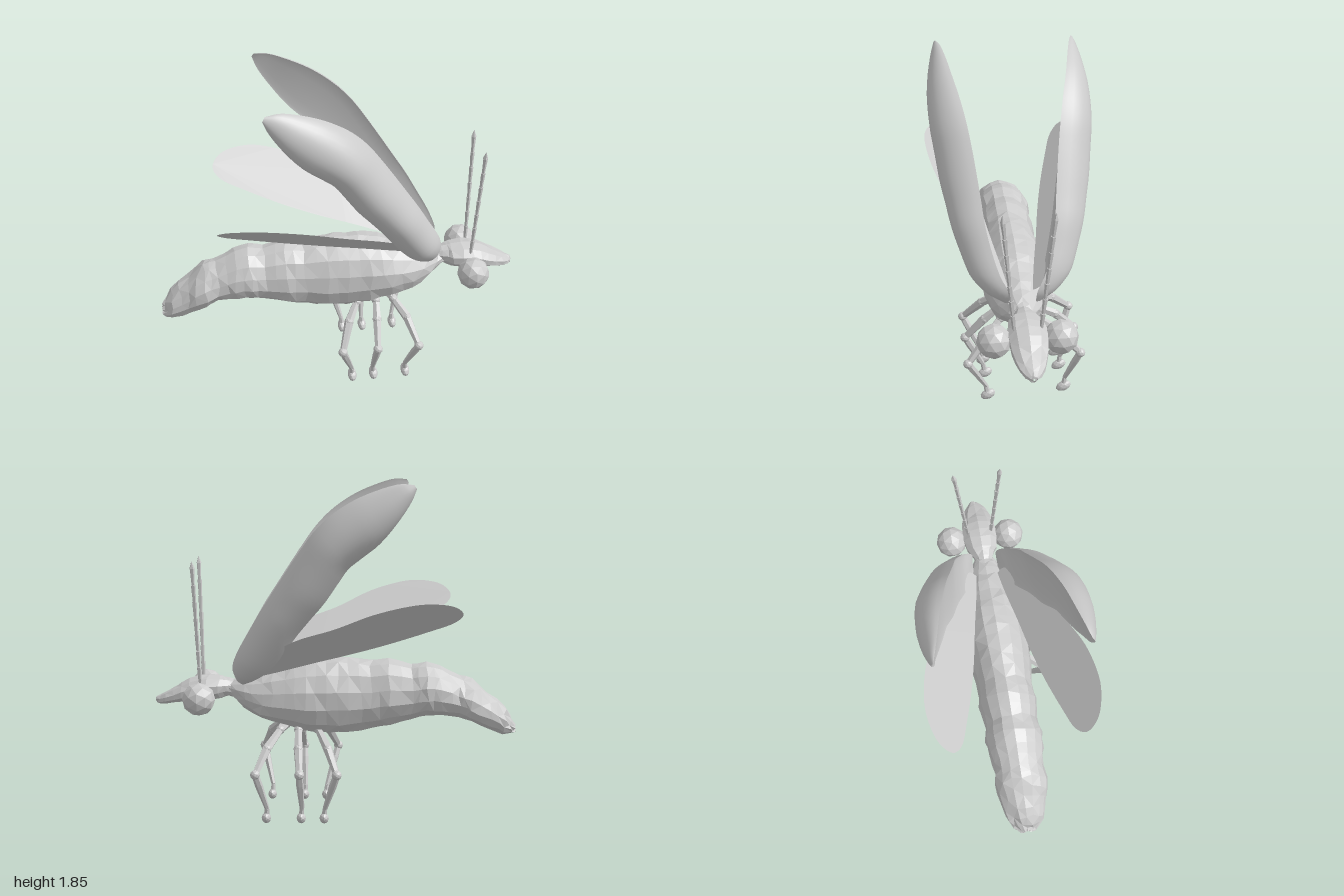
import * as THREE from 'three';

const V = (x, y, z) => new THREE.Vector3(x, y, z);
const flat = new THREE.MeshStandardMaterial({ color: 0xcccccc, flatShading: true });
const smooth = new THREE.MeshStandardMaterial({ color: 0xcccccc, side: THREE.DoubleSide });

// Surface through a grid of points: fn(i, j) gives each vertex.
function grid(rows, cols, fn, closed = false) {
  const pos = [], idx = [];
  const n = closed ? cols : cols + 1;
  for (let i = 0; i <= rows; i++)
    for (let j = 0; j < n; j++) pos.push(...fn(i, j));
  for (let i = 0; i < rows; i++)
    for (let j = 0; j < cols; j++) {
      const k = (j + 1) % n;
      const a = i * n + j, b = i * n + k, c = (i + 1) * n + j, d = (i + 1) * n + k;
      if ((i + j) % 2) idx.push(a, b, c, b, d, c);
      else idx.push(a, b, d, a, d, c);
    }
  const g = new THREE.BufferGeometry();
  g.setAttribute('position', new THREE.Float32BufferAttribute(pos, 3));
  g.setIndex(idx);
  g.computeVertexNormals();
  return g;
}

// Copy reflected in z, with the winding put right again.
function mirrored(geo) {
  const g = geo.clone().scale(1, 1, -1);
  const ix = g.index.array;
  for (let i = 0; i < ix.length; i += 3) [ix[i], ix[i + 1]] = [ix[i + 1], ix[i]];
  g.computeVertexNormals();
  return g;
}

const noise = (i, j) => {
  const s = Math.sin(i * 12.99 + j * 78.23) * 43758.55;
  return (s - Math.floor(s)) * 2 - 1;
};

// Faceted loft along x; sections are [x, bottom y, top y, half width].
function loft(sections, rings, sides, rough, keel) {
  const centre = new THREE.CatmullRomCurve3(sections.map(s => V(s[0], (s[1] + s[2]) / 2, 0)));
  const size = new THREE.CatmullRomCurve3(sections.map(s => V((s[2] - s[1]) / 2, s[3], 0)));
  return grid(rings, sides, (i, j) => {
    const t = i / rings, c = centre.getPoint(t), r = size.getPoint(t);
    const a = j / sides * Math.PI * 2;
    const bump = i === 0 || i === rings ? 0 : rough;
    const k = 1 + bump * noise(i, j);
    return [c.x + bump * 0.4 * noise(j, i),
      c.y + Math.cos(a) * r.x * k,
      Math.sin(a) * r.y * k * (1 - keel * Math.cos(a))];
  }, true);
}

// Faceted limb between two points.
function limb(a, b, ra, rb, sides = 6) {
  const g = new THREE.CylinderGeometry(rb, ra, a.distanceTo(b), sides);
  const m = new THREE.Mesh(g, flat);
  m.position.copy(a).add(b).multiplyScalar(0.5);
  m.quaternion.setFromUnitVectors(V(0, 1, 0), b.clone().sub(a).normalize());
  return m;
}

function ball(p, r, sx = 1, sy = 1, sz = 1) {
  const m = new THREE.Mesh(new THREE.IcosahedronGeometry(r, 1), flat);
  m.position.copy(p);
  m.scale.set(sx, sy, sz);
  return m;
}

// Domed wing case: an outer shell and a nearly flat inner face.
function wingCaseParts() {
  // lower edge xyz, upper edge xyz, depth of the dome
  const rows = [
    [.50, .765, .07, .54, .79, .07, .02],
    [.43, .80, .10, .56, .86, .07, .10],
    [.35, .86, .13, .53, .95, .115, .14],
    [.265, .965, .165, .46, 1.075, .155, .15],
    [.20, 1.06, .19, .40, 1.18, .178, .16],
    [.12, 1.16, .215, .335, 1.28, .19, .165],
    [.05, 1.245, .235, .27, 1.38, .203, .17],
    [-.02, 1.35, .26, .19, 1.50, .22, .165],
    [-.075, 1.43, .28, .11, 1.61, .24, .16],
    [-.14, 1.485, .30, .02, 1.70, .264, .145],
    [-.23, 1.56, .33, -.10, 1.78, .295, .115],
    [-.32, 1.67, .355, -.22, 1.832, .32, .075],
    [-.39, 1.78, .365, -.33, 1.863, .345, .035],
    [-.413, 1.84, .375, -.40, 1.86, .365, .004]];
  const lower = new THREE.CatmullRomCurve3(rows.map(r => V(r[0], r[1], r[2])));
  const upper = new THREE.CatmullRomCurve3(rows.map(r => V(r[3], r[4], r[5])));
  const depth = new THREE.CatmullRomCurve3(rows.map(r => V(r[6], 0, 0)));
  const face = (n, bulge, flip) => grid(44, n, (i, j) => {
    const t = i / 44, a = (flip ? n - j : j) / n * Math.PI;
    const p = lower.getPoint(t).lerp(upper.getPoint(t), (1 - Math.cos(a)) / 2);
    return [p.x, p.y, p.z + Math.sin(a) * depth.getPoint(t).x * bulge];
  });
  return [face(16, 1, false), face(6, 0.08, true)];
}

// Flat hind wing, cut from a spline outline and laid on a slanted plane.
function hindWingGeometry() {
  const outline = [[.45, .80], [.3, .84], [.1, .90], [-.1, .957], [-.3, 1.022], [-.5, 1.098], [-.62, 1.15],
    [-.663, 1.205], [-.61, 1.255], [-.5, 1.273], [-.38, 1.263], [-.2, 1.213], [0, 1.125], [.2, 1.055], [.36, .95], [.46, .84]];
  const curve = new THREE.SplineCurve([...outline, outline[0]].map(p => new THREE.Vector2(...p)));
  const g = new THREE.ShapeGeometry(new THREE.Shape(curve.getPoints(80)));
  const p = g.attributes.position;
  for (let i = 0; i < p.count; i++) p.setZ(i, 1.08 * p.getY(i) + 0.138 * p.getX(i) - 0.864);
  g.computeVertexNormals();
  return g;
}

export function createModel() {
  const model = new THREE.Group();
  const add = (name, ...meshes) => {
    const g = new THREE.Group();
    g.name = name;
    g.add(...meshes);
    model.add(g);
    return g;
  };

  // Segmented abdomen and thorax
  add('body', new THREE.Mesh(loft([
    [-1, .50, .505, .005], [-.995, .485, .53, .045], [-.94, .475, .63, .10], [-.85, .505, .71, .125],
    [-.75, .545, .79, .145], [-.68, .575, .805, .135], [-.58, .58, .865, .152], [-.5, .58, .88, .158],
    [-.42, .56, .868, .145], [-.3, .525, .90, .162], [-.2, .505, .89, .155], [-.08, .48, .91, .17],
    [.04, .475, .91, .178], [.16, .49, .90, .182], [.28, .525, .87, .175], [.4, .56, .83, .15],
    [.5, .62, .80, .11], [.57, .68, .775, .06], [.6, .69, .77, .045]], 36, 14, .03, .14), flat));

  // Head with neck and pointed snout
  add('head', new THREE.Mesh(loft([
    [.56, .69, .78, .045], [.6, .685, .79, .06], [.64, .67, .80, .09], [.73, .655, .805, .105],
    [.8, .65, .785, .10], [.87, .65, .745, .09], [.94, .638, .71, .065], [.985, .636, .685, .03],
    [1, .655, .668, .005]], 12, 10, .02, 0), flat));

  const caseParts = wingCaseParts(), hind = hindWingGeometry();
  for (const s of [1, -1]) {
    const side = s > 0 ? 'Front' : 'Back';
    const place = g => new THREE.Mesh(s > 0 ? g : mirrored(g), smooth);
    add('wingCase' + side, ...caseParts.map(place));
    add('hindWing' + side, place(hind));
    add('eye' + side, ball(V(.735, .705, s * .17), .09));

    // Jointed antenna with a pointed tip
    const at = t => V(.74 + .018 * t, .77 + .64 * t, s * (.068 + .055 * t));
    const antenna = add('antenna' + side);
    for (let i = 0; i < 7; i++) antenna.add(limb(at(i / 7), at((i + 1) / 7), .009, .013, 5));
    antenna.add(limb(at(1), at(1.06), .015, .001, 5));

    // Three arched legs; the two sides stand slightly differently. Joints are [y, z].
    const [bend, knee, ankle, foot] = s > 0
      ? [[.44, .175], [.31, .285], [.10, .185], [.042, .175]]
      : [[.445, -.225], [.335, -.335], [.12, -.262], [.062, -.255]];
    [['rear', .12, .09, .035, -.015, .055], ['middle', .2, .2, .195, .185, .18], ['fore', .27, .30, .365, .42, .37]]
      .forEach(([name, hipX, thighX, bendX, kneeX, footX]) => {
        const hip = V(hipX, .54, s * .03), thigh = V(thighX, .515, s * .095);
        const b = V(bendX, ...bend), k = V(kneeX, ...knee);
        const a = V(footX - .005, ...ankle), f = V(footX, ...foot);
        const calf = k.clone().lerp(a, .3);
        const toe = ball(f, .032, .8, .9, 1.4);
        toe.rotation.x = .45;
        add(name + 'Leg' + side,
          limb(hip, thigh, .034, .022), ball(thigh, .025),
          limb(thigh, b, .02, .026), ball(b, .026), limb(b, k, .026, .018), ball(k, .027),
          limb(k, calf, .019, .021), limb(calf, a, .021, .013),
          limb(a, f, .013, .017), toe);
      });
  }
  return model;
}
